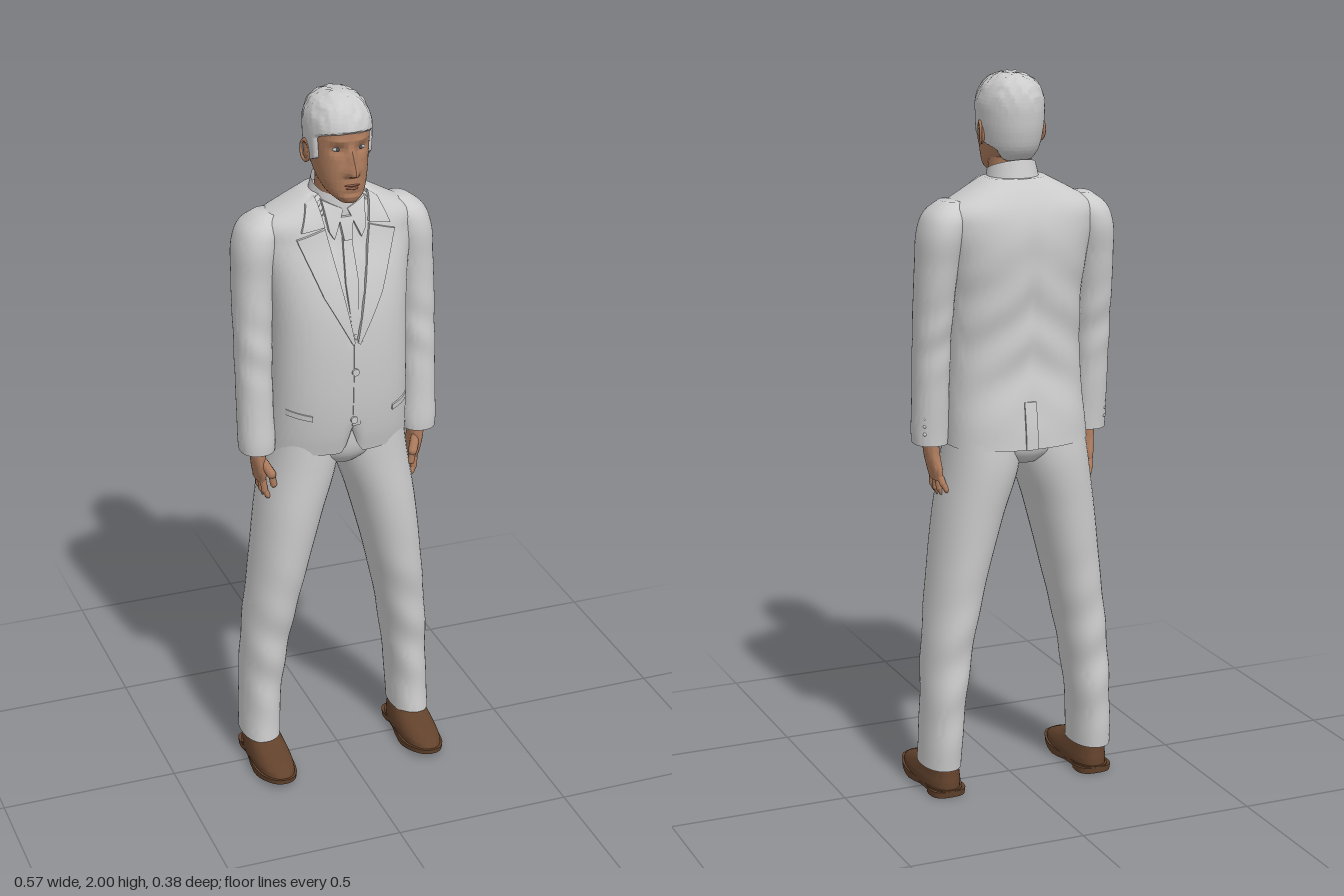
import * as THREE from 'three';
import { toCreasedNormals } from 'three/addons/utils/BufferGeometryUtils.js';

const material = (name, color, side = THREE.FrontSide) => {
  const m = new THREE.MeshStandardMaterial({ color, side });
  m.name = name;
  return m;
};
const gauss = (d, w) => Math.exp(-((d / w) ** 2));
const { smoothstep, lerp, clamp } = THREE.MathUtils;

// Smooth interpolation through rows [y, cx, cz, rx, rz], lowest first
function sampler(rows) {
  const curve = new THREE.CubicInterpolant(rows.map(r => r[0]), rows.flatMap(r => r.slice(1)), 4);
  return y => [...curve.evaluate(y)];
}

// Closed skin over horizontal superelliptic cross-sections
function loft(rows, { s = 1, p = 2, seg = 40, steps = 40, bottom = true, top = true, tweak } = {}) {
  const at = sampler(rows), y0 = rows[0][0], y1 = rows.at(-1)[0];
  const pos = [], index = [], v = new THREE.Vector3();
  const add = (x, y, z) => {
    v.set(x, y, z);
    if (tweak) tweak(v);
    pos.push(v.x, v.y, v.z);
  };
  const round = t => Math.sign(t) * Math.abs(t) ** (2 / p);
  for (let i = 0; i <= steps; i++) {
    const y = lerp(y0, y1, i / steps), [cx, cz, rx, rz] = at(y);
    for (let j = 0; j < seg; j++) {
      const a = j / seg * Math.PI * 2;
      add(s * cx + rx * round(Math.cos(a)), y, cz + rz * round(Math.sin(a)));
      if (i === steps) continue;
      const q = i * seg + j, n = i * seg + (j + 1) % seg;
      index.push(q, q + seg, n, n, q + seg, n + seg);
    }
  }
  for (const [wanted, row, base] of [[bottom, rows[0], 0], [top, rows.at(-1), steps * seg]]) {
    if (!wanted) continue;
    const c = pos.length / 3;
    add(s * row[1], row[0], row[2]);
    for (let j = 0; j < seg; j++) {
      const q = base + j, n = base + (j + 1) % seg;
      index.push(c, ...(base ? [n, q] : [q, n]));
    }
  }
  const g = new THREE.BufferGeometry();
  g.setAttribute('position', new THREE.Float32BufferAttribute(pos, 3));
  g.setIndex(index);
  return toCreasedNormals(g, 0.9);
}

const TORSO = [
  [1.0, 0, -.035, .2, .15], [1.06, 0, -.026, .197, .155], [1.2, 0, -.008, .19, .152],
  [1.4, 0, -.012, .19, .152], [1.5, 0, -.025, .2, .145], [1.6, 0, -.04, .218, .126],
  [1.65, 0, -.04, .215, .112], [1.69, 0, -.036, .15, .094], [1.725, 0, -.03, .085, .075]];
const torsoAt = sampler(TORSO);
const torsoZ = (x, y, face = 1) => {
  const [, cz, rx, rz] = torsoAt(y);
  return cz + face * rz * Math.max(0, 1 - Math.abs(x / rx) ** 2.4) ** (1 / 2.4);
};

// Cloth panel lying on the torso between two edge lines; its border sinks into the cloth below
function panel(a, b, off, face = 1) {
  const n = 26, m = 10, pos = [], index = [];
  const along = (line, t) => {
    const f = t * (line.length - 1), i = Math.min(Math.floor(f), line.length - 2);
    return [0, 1].map(k => lerp(line[i][k], line[i + 1][k], f - i));
  };
  for (let i = 0; i <= n; i++) for (let j = 0; j <= m; j++) {
    const t = clamp((i - 1) / (n - 2), 0, 1), u = clamp((j - 1) / (m - 2), 0, 1);
    const [ax, ay] = along(a, t), [bx, by] = along(b, t);
    const x = lerp(ax, bx, u), y = lerp(ay, by, u);
    const edge = i === 0 || i === n || j === 0 || j === m;
    pos.push(x, y, torsoZ(x, y, face) + face * (edge ? off - .016 : off));
    if (i < n && j < m) {
      const q = i * (m + 1) + j;
      index.push(q, q + m + 1, q + 1, q + 1, q + m + 1, q + m + 2);
    }
  }
  const g = new THREE.BufferGeometry();
  g.setAttribute('position', new THREE.Float32BufferAttribute(pos, 3));
  g.setIndex(index);
  return toCreasedNormals(g, 0.7);
}

const HEAD = [
  [1.722, 0, .075, .024, .032], [1.74, 0, .057, .045, .06], [1.77, 0, .03, .061, .086],
  [1.8, 0, .014, .069, .1], [1.84, 0, .004, .075, .105], [1.88, 0, 0, .079, .107],
  [1.92, 0, -.003, .079, .105], [1.95, 0, -.006, .071, .094], [1.975, 0, -.008, .053, .071],
  [1.99, 0, -.008, .026, .036]];

// Sockets, brow, nose and mouth relief
function faceRelief(v) {
  if (v.z < .03) return;
  const ax = Math.abs(v.x), y = v.y;
  v.z -= .012 * gauss(ax - .032, .018) * gauss(y - 1.866, .014);
  v.z += .005 * gauss(ax - .03, .024) * gauss(y - 1.89, .008);
  const ridge = smoothstep(1.885 - y, 0, .075) * smoothstep(y, 1.792, 1.806);
  v.z += .032 * ridge * gauss(v.x, .009 + .008 * smoothstep(1.84 - y, 0, .03));
  v.z -= .005 * gauss(y - 1.75, .007) * gauss(v.x, .03);
}

// Hair rises above the skull behind the hairline and dips under the skin elsewhere
const skullCentre = new THREE.Vector3(0, 1.86, 0);
function hairRelief(v) {
  const line = -.045 + .095 * smoothstep(v.y, 1.8, 1.84) + .13 * smoothstep(v.y, 1.89, 1.935);
  const m = smoothstep(line - v.z, -.01, .01) * smoothstep(v.y, 1.762, 1.778);
  const tuft = Math.sin(v.x * 190 + 3 * Math.sin(v.z * 70)) * Math.sin(v.z * 130 + v.y * 90);
  const off = lerp(-.012, .009 + .0025 * tuft * smoothstep(v.y, 1.88, 1.95), m);
  v.add(v.clone().sub(skullCentre).normalize().multiplyScalar(off));
}

export function createModel() {
  const model = new THREE.Group();
  model.name = 'standingMan';
  const cloth = material('paleGreyCloth', 0xcccccc, THREE.DoubleSide);
  const hairMat = material('paleGreyHair', 0xcbcbcb);
  const skin = material('skin', 0xab7a5c);
  const lip = material('lips', 0x8f5c49);
  const shoe = material('brownLeather', 0x62422c);
  const white = material('eyeWhite', 0xc4c8ca);
  const iris = material('iris', 0x46545c);
  const add = (name, geometry, mat, x = 0, y = 0, z = 0) => {
    const mesh = new THREE.Mesh(geometry, mat);
    mesh.name = name;
    mesh.position.set(x, y, z);
    model.add(mesh);
    return mesh;
  };
  const ball = (name, mat, x, y, z, sx, sy, sz) =>
    add(name, new THREE.SphereGeometry(1, 20, 14), mat, x, y, z).scale.set(sx, sy, sz);
  const capsule = (name, a, b, r, mat) => {
    const p = new THREE.Vector3(...a), d = new THREE.Vector3(...b).sub(p);
    const mesh = add(name, new THREE.CapsuleGeometry(r, d.length(), 5, 10), mat);
    mesh.position.copy(p).addScaledVector(d, .5);
    mesh.quaternion.setFromUnitVectors(new THREE.Vector3(0, 1, 0), d.normalize());
  };

  // Head
  add('head', loft(HEAD, { p: 2.15, seg: 96, steps: 80, tweak: faceRelief }), skin);
  add('hair', loft(HEAD, { p: 2.15, seg: 96, steps: 80, bottom: false, tweak: hairRelief }), hairMat);
  add('neck', loft([[1.64, 0, -.025, .066, .066], [1.7, 0, -.015, .06, .064],
    [1.76, 0, -.002, .058, .066], [1.81, 0, 0, .058, .07]]), skin);
  ball('upperLip', lip, 0, 1.773, .113, .021, .0035, .007);
  ball('lowerLip', lip, 0, 1.765, .112, .018, .0045, .008);

  // Jacket body with a sunken shirt opening, parted hem and soft back folds
  add('jacket', loft(TORSO, {
    p: 2.4, seg: 120, steps: 70, bottom: false, tweak: v => {
      if (v.z > 0) {
        const half = (v.y - 1.34) * .2;
        v.z -= .012 * smoothstep(half - Math.abs(v.x), -.004, .006);
        v.y += .07 * gauss(v.x, .016) * Math.max(0, 1.1 - v.y) * 10;
      } else if (v.z < -.08) {
        v.z += .004 * Math.sin(v.y * 42 + Math.abs(v.x) * 30) * gauss(v.y - 1.3, .2);
        v.z += .01 * gauss(v.x, .02) * gauss(v.y - 1.4, .16);
      }
    }
  }), cloth);
  add('shirtCollar', loft([[1.685, 0, -.018, .077, .078], [1.72, 0, -.014, .07, .073],
    [1.745, 0, -.012, .065, .069]], { bottom: false, top: false, steps: 8,
    tweak: v => { v.y -= v.z * .35; } }), cloth);
  add('tie', panel([[-.012, 1.62], [-.018, 1.5], [-.008, 1.36]], [[.012, 1.62], [.018, 1.5], [.008, 1.36]], -.003), cloth);
  add('tieKnot', panel([[-.02, 1.67], [-.011, 1.61]], [[.02, 1.67], [.011, 1.61]], .004), cloth);
  add('frontOverlap', panel([[-.006, 1.35], [-.006, 1.09]], [[.02, 1.34], [.016, 1.09]], .003), cloth);
  add('backVentFlap', panel([[-.004, 1.13], [-.004, 1.0]], [[.03, 1.13], [.03, 1.0]], .005, -1), cloth);
  for (const y of [1.255, 1.11])
    add('frontButton', new THREE.CylinderGeometry(.01, .01, .006, 18), cloth, -.003, y, torsoZ(0, y) + .006)
      .rotation.x = Math.PI / 2;

  // Trouser seat
  add('trouserSeat', loft([[.95, 0, -.03, .06, .1], [.98, 0, -.03, .14, .125], [1.08, 0, -.025, .18, .135]], { steps: 12 }), cloth);

  for (const s of [1, -1]) {
    const side = s > 0 ? 'left' : 'right';
    const m = points => points.map(([x, y]) => [s * x, y]);

    // Eyes and ears
    ball(side + 'Eye', white, s * .032, 1.867, .081, .0135, .0075, .011);
    ball(side + 'Iris', iris, s * .032, 1.867, .0905, .005, .0052, .0025);
    ball(side + 'Nostril', skin, s * .011, 1.805, .118, .007, .006, .011);
    ball(side + 'Ear', skin, s * .083, 1.84, -.004, .008, .03, .018);
    const rim = add(side + 'EarRim', new THREE.TorusGeometry(.019, .004, 8, 24), skin, s * .088, 1.842, -.005);
    rim.rotation.y = s * 1.3;
    rim.scale.y = 1.45;

    // Collar flap, lapel halves and pocket flap
    add(side + 'CollarFlap', panel(m([[.006, 1.69], [.038, 1.615]]), m([[.06, 1.715], [.05, 1.635]]), .004), cloth);
    add(side + 'Lapel', panel(m([[.062, 1.645], [.035, 1.5], [.004, 1.34]]), m([[.138, 1.62], [.082, 1.47], [.01, 1.335]]), .008), cloth);
    add(side + 'JacketCollar', panel(m([[.075, 1.722], [.062, 1.65]]), m([[.1, 1.705], [.125, 1.638]]), .008), cloth);
    add(side + 'PocketFlap', panel(m([[.115, 1.128], [.175, 1.138]]), m([[.115, 1.112], [.175, 1.122]]), .006), cloth);

    // Sleeve with rounded shoulder and cuff buttons
    add(side + 'Sleeve', loft([
      [1.0, .236, .002, .048, .055], [1.02, .236, .002, .05, .056], [1.1, .237, -.004, .049, .057],
      [1.3, .236, -.018, .05, .062], [1.5, .228, -.036, .055, .076], [1.6, .215, -.042, .06, .084],
      [1.645, .2, -.042, .054, .07], [1.672, .188, -.04, .03, .04]], {
      s, p: 2.2, steps: 60,
      tweak: v => { v.z += .003 * Math.sin(v.y * 50 + v.x * 30) * gauss(v.y - 1.3, .1); }
    }), cloth);
    for (const k of [0, 1, 2])
      ball(side + 'CuffButton', cloth, s * .268, 1.035 + k * .022, -.043, .005, .005, .005);

    // Hand
    add(side + 'Palm', loft([[.9, .224, -.014, .013, .04], [.93, .227, -.008, .017, .044],
      [.97, .232, 0, .02, .036], [1.03, .236, 0, .022, .028]], { s, seg: 24, steps: 16 }), skin);
    for (let k = 0; k < 4; k++) {
      const z = .018 - k * .021, z2 = .026 - k * .03, drop = [.0, -.006, -.002, .016][k];
      const knuckle = [s * .221, .878 + drop, (z + z2) / 2];
      capsule(side + 'Finger', [s * .224, .91, z], knuckle, .0095, skin);
      capsule(side + 'FingerTip', knuckle, [s * .213, .862 + drop, z2], .008, skin);
    }
    capsule(side + 'ThumbBase', [s * .224, .965, .022], [s * .208, .935, .044], .013, skin);
    capsule(side + 'ThumbTip', [s * .208, .935, .044], [s * .203, .905, .046], .0095, skin);

    // Trouser leg
    add(side + 'TrouserLeg', loft([
      [.08, .23, -.032, .055, .09], [.2, .225, -.04, .056, .09], [.4, .207, -.034, .065, .097],
      [.6, .175, -.025, .076, .114], [.8, .137, -.026, .091, .128], [.95, .103, -.032, .102, .134],
      [1.06, .095, -.03, .095, .13]], {
      s, p: 2.15, steps: 70,
      tweak: v => { v.z += .004 * Math.sin(v.y * 38 + v.x * 25) * gauss(v.y - .35, .22); }
    }), cloth);

    // Shoe: upper, sole with raised toe and arch, heel
    add(side + 'ShoeUpper', loft([[.015, .225, .034, .054, .148], [.038, .225, .032, .055, .146],
      [.058, .225, .012, .051, .122], [.082, .226, -.024, .045, .083], [.13, .228, -.032, .04, .066]],
      { s, p: 2.4, steps: 20 }), shoe);
    add(side + 'ShoeSole', loft([[.008, .225, .035, .059, .153], [.022, .225, .035, .06, .155]], {
      s, p: 2.5, steps: 2, tweak: v => {
        v.x = lerp(v.x, s * .225, .14 * gauss(v.z + .01, .05));
        v.y += .01 * smoothstep(v.z, .1, .19) - .008 * gauss(v.z - .07, .05) * (v.y < .012);
      }
    }), shoe);
    add(side + 'ShoeHeel', loft([[0, .225, -.07, .05, .046], [.018, .225, -.07, .052, .049]],
      { s, p: 2.8, steps: 2 }), shoe);
  }
  return model;
}
